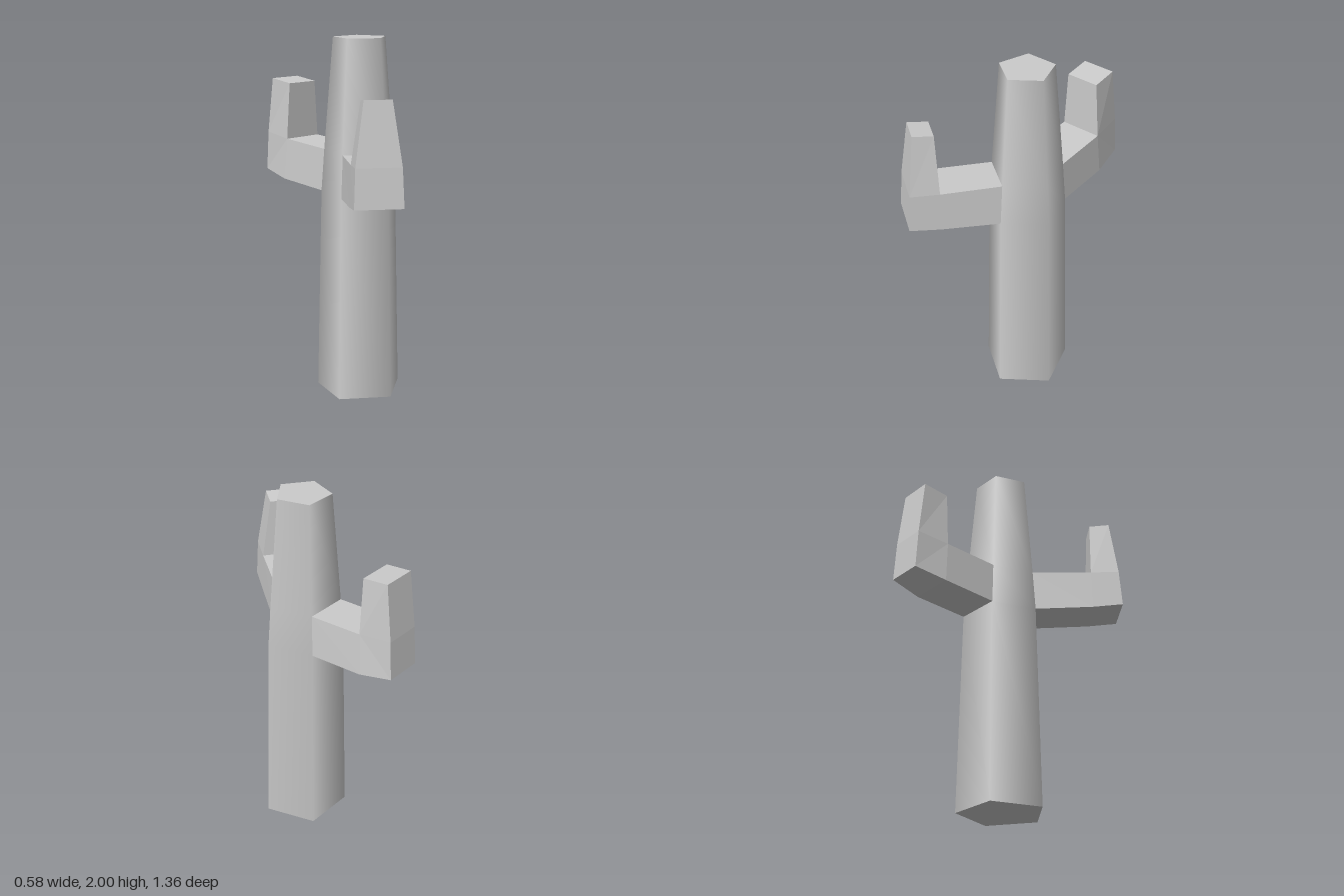
import * as THREE from 'three';

const AXIS_X = 0.04; // centre line of the trunk
const SIDES = 5;

// Five-sided tapering trunk with soft sides and hard flat caps
function makeTrunk(material) {
  const trunk = new THREE.Group();
  trunk.name = 'trunk';
  const profile = [[0.247, 0], [0.22, 1.145], [0.203, 1.38], [0.152, 2]]
    .map(([r, y]) => new THREE.Vector2(r, y));
  const sides = new THREE.Mesh(new THREE.LatheGeometry(profile, SIDES, Math.PI / 2), material);
  sides.name = 'trunkSides';
  trunk.add(sides);
  for (const [name, r, y, turn] of [['trunkTop', 0.152, 2, -1], ['trunkBase', 0.247, 0, 1]]) {
    const cap = new THREE.Mesh(new THREE.CircleGeometry(r, SIDES).rotateX(turn * Math.PI / 2), material);
    cap.name = name;
    cap.position.y = y;
    trunk.add(cap);
  }
  trunk.position.x = AXIS_X;
  return trunk;
}

// Arm lofted through four-cornered sections. Each section has a low (outer) and a
// high (inner) edge, given as [distance from trunk axis, height, half width].
function makeArm(name, zSide, sections, material) {
  const angle = THREE.MathUtils.degToRad(108);
  const c = Math.cos(angle), s = Math.sin(angle);
  const place = (u, y, v) => new THREE.Vector3(AXIS_X + u * c + v * s, y, zSide * (u * s - v * c));
  const loops = sections.map(([[u0, y0, w0], [u1, y1, w1]]) => {
    const loop = [place(u0, y0, -w0), place(u0, y0, w0), place(u1, y1, w1), place(u1, y1, -w1)];
    return zSide > 0 ? loop : loop.reverse();
  });

  const points = [];
  const triangle = (a, b, d) => {
    if (!a.equals(b) && !b.equals(d) && !d.equals(a)) points.push(a, b, d);
  };
  const quad = (a, b, d, e) => { triangle(a, b, d); triangle(a, d, e); };
  for (let i = 0; i < loops.length - 1; i++) {
    for (let k = 0; k < 4; k++) {
      const n = (k + 1) % 4;
      quad(loops[i][k], loops[i][n], loops[i + 1][n], loops[i + 1][k]);
    }
  }
  quad(...loops[loops.length - 1]); // tip

  const geometry = new THREE.BufferGeometry().setFromPoints(points);
  geometry.computeVertexNormals();
  const arm = new THREE.Mesh(geometry, material);
  arm.name = name;
  return arm;
}

export function createModel() {
  const model = new THREE.Group();
  model.name = 'cactus';
  const smooth = new THREE.MeshStandardMaterial({ color: 0xcccccc });
  const flat = new THREE.MeshStandardMaterial({ color: 0xcccccc, flatShading: true });

  model.add(makeTrunk(smooth));

  // Sections: root on the trunk, start of elbow, elbow corner, top of elbow, tip
  const root = [[0.178, 1.145, 0.129], [0.163, 1.38, 0.119]];
  const frontCrook = [0.497, 1.39, 0.121];
  const backCrook = [0.482, 1.4, 0.117];
  model.add(makeArm('frontArm', 1, [
    root,
    [[0.5, 1.168, 0.128], frontCrook],
    [[0.671, 1.19, 0.128], frontCrook],
    [[0.657, 1.4, 0.12], frontCrook],
    [[0.618, 1.735, 0.073], [0.505, 1.72, 0.072]],
  ], flat));
  model.add(makeArm('backArm', -1, [
    root,
    [[0.498, 1.167, 0.129], backCrook],
    [[0.682, 1.2, 0.103], backCrook],
    [[0.668, 1.42, 0.101], backCrook],
    [[0.63, 1.735, 0.094], [0.48, 1.717, 0.095]],
  ], flat));
  return model;
}
